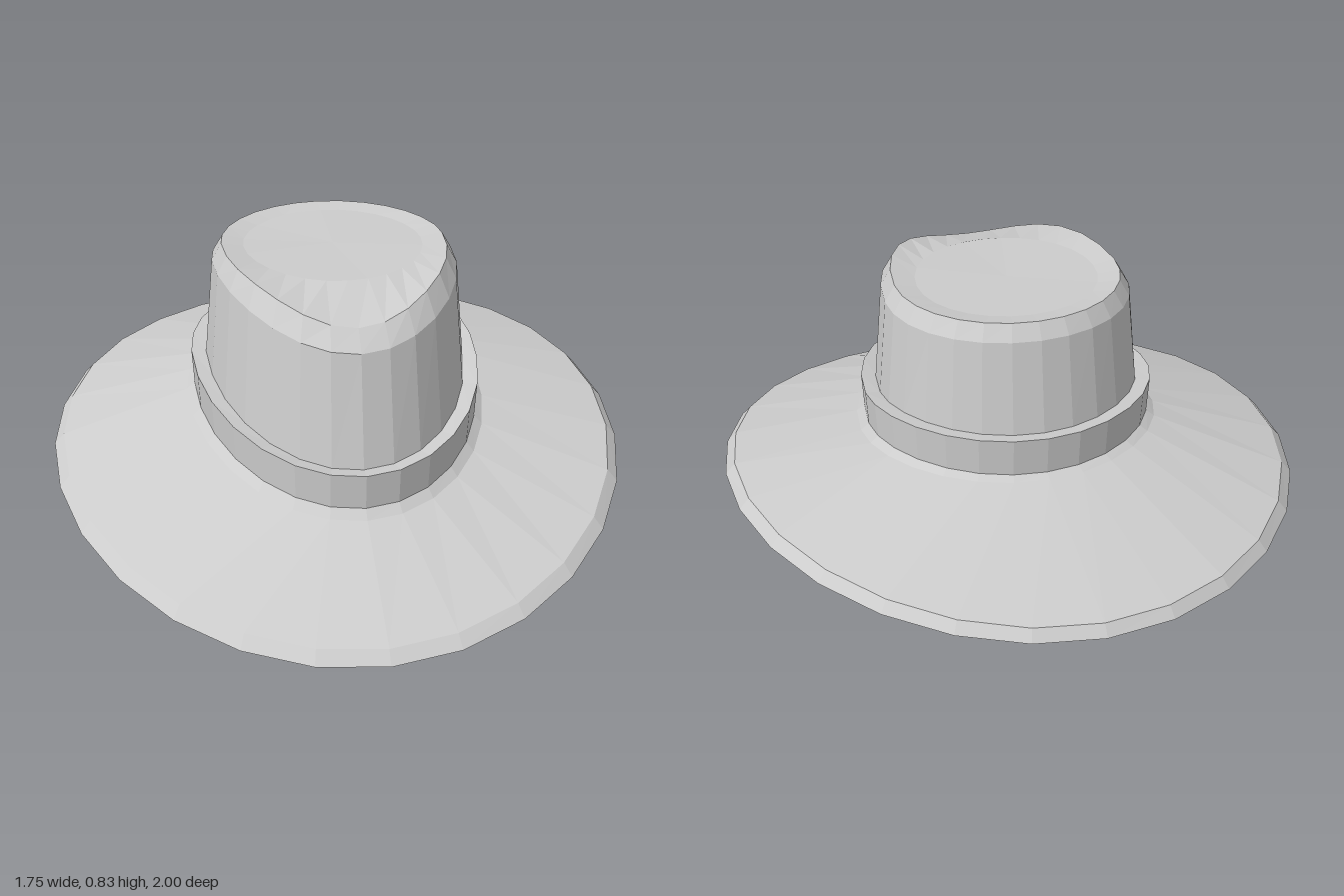
import * as THREE from 'three';

const SEGMENTS = 28;

// One egg-shaped loop: half-width, front z, back z, heights at front, side and back.
// pinch sharpens the dip at the front; tilt lifts the left side a little.
function ring(rx, zf, zb, yf, ys, yb, { zc = -0.03, pinch = 0, tilt = 0 } = {}) {
  const points = [];
  for (let i = 0; i < SEGMENTS; i++) {
    const t = (i / SEGMENTS) * Math.PI * 2;
    const c = Math.cos(t), s = Math.sin(t);
    const x = rx * s;
    const z = zc + (c > 0 ? (zf - zc) * c : (zc - zb) * c);
    let y = ys + ((yf - yb) / 2) * c + ((yf + yb) / 2 - ys) * c * c;
    if (pinch) y = c > 0 ? ys + (yf - ys) * Math.pow(c, pinch) : ys + (yb - ys) * c * c;
    points.push(x, y + tilt * s, z);
  }
  return points;
}

// Skin over a series of loops
function loft(name, rings, material) {
  const index = [];
  for (let r = 0; r < rings.length - 1; r++) {
    for (let i = 0; i < SEGMENTS; i++) {
      const j = (i + 1) % SEGMENTS;
      const a = r * SEGMENTS + i, b = r * SEGMENTS + j;
      const c = b + SEGMENTS, d = a + SEGMENTS;
      index.push(a, b, c, a, c, d);
    }
  }
  const geometry = new THREE.BufferGeometry();
  geometry.setAttribute('position', new THREE.Float32BufferAttribute(rings.flat(), 3));
  geometry.setIndex(index);
  geometry.computeVertexNormals();
  const mesh = new THREE.Mesh(geometry, material);
  mesh.name = name;
  return mesh;
}

export function createModel() {
  const felt = new THREE.MeshStandardMaterial({ color: 0xcccccc, flatShading: true });
  felt.name = 'grey felt';
  const hat = new THREE.Group();
  hat.name = 'hat';

  const brimEdge = { zc: 0, tilt: 0.02 };

  // Shared loops where parts meet
  const opening = ring(0.41, 0.57, -0.44, 0.25, 0.355, 0.385);
  const bandFoot = ring(0.435, 0.6, -0.465, 0.265, 0.375, 0.405);
  const crownFoot = ring(0.395, 0.56, -0.43, 0.365, 0.48, 0.515);
  const innerCrownFoot = ring(0.375, 0.54, -0.41, 0.345, 0.46, 0.495);

  // Lining of the crown, from its ceiling down to the sweatband
  hat.add(loft('crownLining', [
    ring(0, -0.03, -0.03, 0.795, 0.795, 0.795),
    ring(0.25, 0.24, -0.28, 0.785, 0.795, 0.8, { pinch: 2 }),
    ring(0.315, 0.42, -0.335, 0.725, 0.8, 0.805, { pinch: 4 }),
    ring(0.345, 0.475, -0.37, 0.67, 0.76, 0.77, { pinch: 2.5 }),
    innerCrownFoot,
  ], felt));

  // Inside of the band, with a ledge under the crown
  hat.add(loft('sweatband', [
    innerCrownFoot,
    ring(0.415, 0.575, -0.445, 0.345, 0.46, 0.495),
    opening,
  ], felt));

  // Brim: underside, bevelled rim, upper side and flare to the band
  hat.add(loft('brim', [
    opening,
    ring(0.44, 0.6, -0.47, 0.21, 0.325, 0.36),
    ring(0.835, 0.95, -0.965, 0.006, 0.2, 0.215, brimEdge),
    ring(0.877, 1, -1, 0.035, 0.23, 0.245, brimEdge),
    ring(0.847, 0.968, -0.975, 0.068, 0.262, 0.276, brimEdge),
    ring(0.46, 0.625, -0.49, 0.24, 0.355, 0.395),
    bandFoot,
  ], felt));

  // Hatband
  hat.add(loft('hatband', [
    bandFoot,
    ring(0.44, 0.605, -0.47, 0.37, 0.485, 0.52),
    crownFoot,
  ], felt));

  // Crown with a pinched front and shallow top
  hat.add(loft('crown', [
    crownFoot,
    ring(0.366, 0.5, -0.39, 0.69, 0.78, 0.79, { pinch: 2.5 }),
    ring(0.336, 0.45, -0.36, 0.745, 0.83, 0.835, { pinch: 4 }),
    ring(0.27, 0.26, -0.3, 0.807, 0.818, 0.825, { pinch: 2 }),
    ring(0, -0.03, -0.03, 0.815, 0.815, 0.815),
  ], felt));

  return hat;
}
